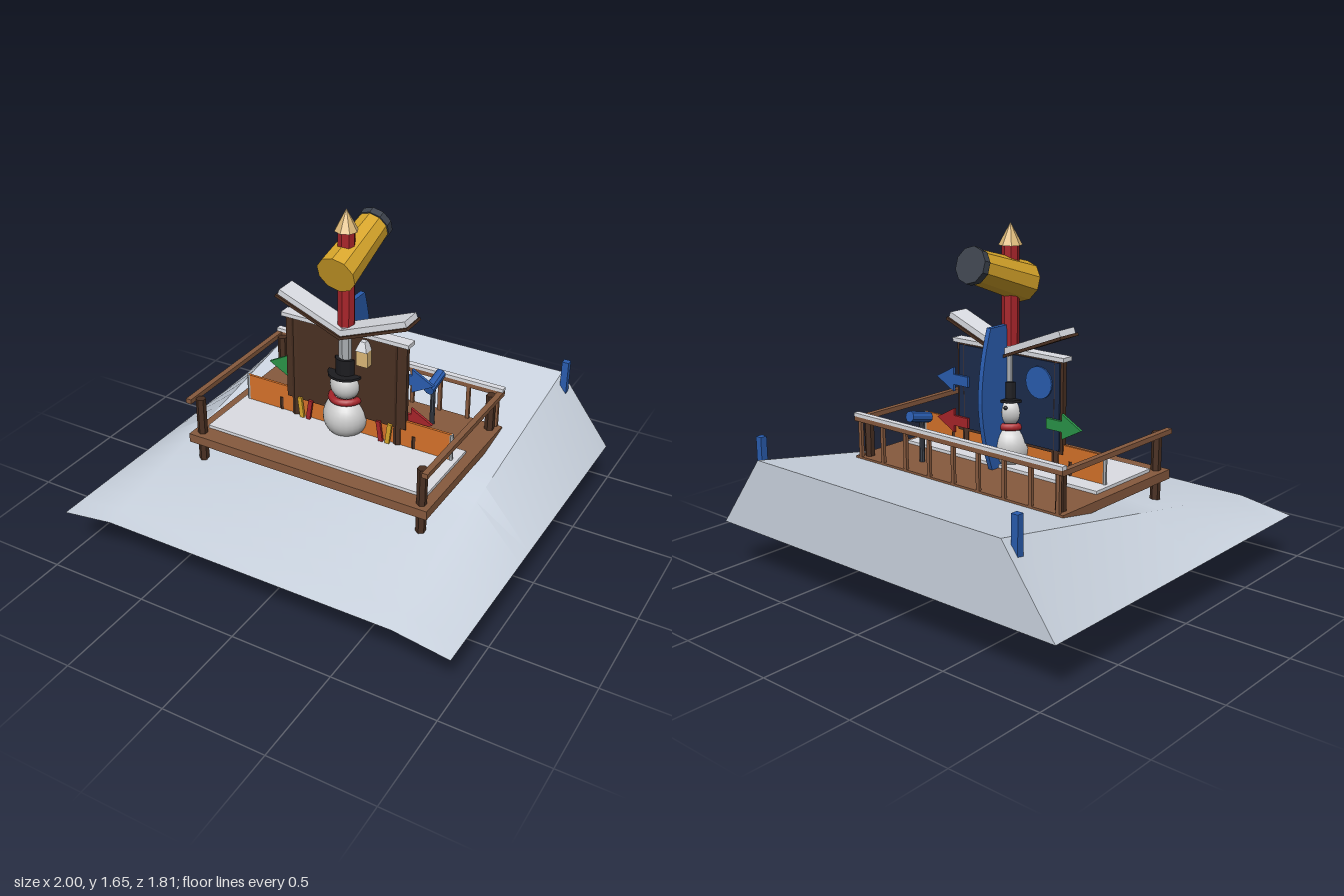
import * as THREE from 'three';
import { toCreasedNormals } from 'three/addons/utils/BufferGeometryUtils.js';

const C = {
  ground: 0xcdd6e2, snow: 0xdcdee4, wood: 0x875a3e, dark: 0x4a3022, red: 0xa8242a, yellow: 0xd8a62a,
  tan: 0xdcb878, orange: 0xd6722a, blue: 0x2a5db0, green: 0x2a9448, navy: 0x1c2c4c, slate: 0x3c424c,
  grey: 0xa8acb0, white: 0xeeeeee, black: 0x1c1c20, carrot: 0xd98030,
};

export function createModel() {
  const model = new THREE.Group();

  function add(name, geometry, color, x = 0, y = 0, z = 0, smooth = false, side = THREE.FrontSide) {
    const material = new THREE.MeshStandardMaterial({ color, flatShading: !smooth, side });
    const mesh = new THREE.Mesh(geometry, material);
    mesh.name = name;
    mesh.position.set(x, y, z);
    model.add(mesh);
    return mesh;
  }
  // Box given by its two opposite corners
  const box = (name, color, x0, x1, y0, y1, z0, z1) => add(name,
    new THREE.BoxGeometry(x1 - x0, y1 - y0, z1 - z0), color, (x0 + x1) / 2, (y0 + y1) / 2, (z0 + z1) / 2);
  // Upright post from y0 to y1
  const post = (name, color, r, x, z, y0, y1, sides = 6, rTop = r) => add(name,
    new THREE.CylinderGeometry(rTop, r, y1 - y0, sides), color, x, (y0 + y1) / 2, z);
  const ball = (name, color, r, x, y, z, w = 24, h = 16) =>
    add(name, new THREE.SphereGeometry(r, w, h), color, x, y, z, true);
  const extrude = (points, depth) => {
    const shape = new THREE.Shape(points.map(([x, y]) => new THREE.Vector2(x, y)));
    return new THREE.ExtrudeGeometry(shape, { depth, bevelEnabled: false });
  };

  // Sloping snow ground: open shell that rises to the back with flared sides
  const rows = 18, positions = [], index = [];
  for (let j = 0; j <= rows; j++) {
    const z = 0.9 - (1.81 * j) / rows, h = 0.28 + (0.32 * j) / rows;
    positions.push(-1, 0.24, z, -0.73, h, z, 0.73, h, z, 1, 0.24, z);
    if (j === rows) break;
    for (let i = 0; i < 3; i++) {
      const a = j * 4 + i, b = a + 4;
      index.push(a, a + 1, b, a + 1, b + 1, b);
    }
  }
  const ground = new THREE.BufferGeometry();
  ground.setAttribute('position', new THREE.Float32BufferAttribute(positions, 3));
  ground.setIndex(index);
  add('snowSlope', toCreasedNormals(ground, 0.6), C.ground, 0, 0, 0, true, THREE.DoubleSide);
  const wall = new THREE.Shape([[-1, 0.24], [1, 0.24], [0.73, 0.6], [-0.73, 0.6]].map((p) => new THREE.Vector2(...p)));
  add('slopeBackWall', new THREE.ShapeGeometry(wall), C.ground, 0, 0, -0.91, false, THREE.DoubleSide);

  // Deck with its snow cover, legs and rails
  box('deck', C.wood, -0.63, 0.63, 0.475, 0.52, -0.4, 0.4);
  box('deckSnow', C.snow, -0.58, 0.58, 0.52, 0.535, -0.1, 0.31);
  for (const s of [-1, 1]) {
    for (const z of [-0.355, 0.355]) post('deckLeg', C.dark, 0.024, s * 0.583, z, 0, 0.705);
    box('sideRail', C.wood, s * 0.617 - 0.014, s * 0.617 + 0.014, 0.692, 0.716, -0.4, 0.405);
    box('markerPost', C.blue, s * 0.765 - 0.017, s * 0.765 + 0.017, 0.26, 0.695, -0.872, -0.838);
  }
  box('backRail', C.wood, -0.63, 0.63, 0.695, 0.718, -0.405, -0.38);
  box('backRailSnow', C.snow, -0.63, 0.63, 0.718, 0.735, -0.408, -0.378);
  for (let i = 0; i <= 8; i++) {
    const x = -0.6 + i * 0.15;
    box('baluster', C.wood, x - 0.009, x + 0.009, 0.5, 0.695, -0.4, -0.384);
  }

  // Long low banner on thin stakes
  box('banner', C.orange, -0.55, 0.55, 0.32, 0.67, -0.006, 0.006);
  for (const s of [-1, 1]) {
    post('bannerStake', C.grey, 0.01, s * 0.55, 0, 0.18, 0.67);
    post('bannerInnerStake', C.dark, 0.012, s * 0.36, 0, 0.18, 0.6);
    // Leaning coloured slats
    [[0.235, C.yellow, -0.12], [0.195, C.red, 0.15]].forEach(([x, color, tilt]) => {
      const slat = add('leaningSlat', new THREE.BoxGeometry(0.022, 0.16, 0.012), color, s * x, 0.56, 0.022);
      slat.rotation.z = s * tilt;
    });
  }

  // Notice board with posts, snow cap and dark back panel
  box('board', C.dark, -0.32, 0.32, 0.625, 1.06, -0.012, 0.012);
  box('boardBack', C.navy, -0.305, 0.305, 0.64, 1.05, -0.02, -0.012);
  box('boardSnow', C.snow, -0.335, 0.335, 1.06, 1.08, -0.03, 0.03);
  for (const s of [-1, 1]) post('boardPost', C.dark, 0.021, s * 0.275, 0, 0.18, 1.06);
  const disc = add('boardDisc', new THREE.CylinderGeometry(0.075, 0.075, 0.008, 24), C.blue, -0.19, 0.945, -0.024);
  disc.rotation.x = Math.PI / 2;

  // Small lantern on the board front
  box('lantern', C.tan, 0.08, 0.138, 0.92, 1.0, 0.012, 0.05);
  const cap = post('lanternRoof', C.snow, 0.042, 0.109, 0.031, 1.0, 1.045, 4, 0.018);
  cap.rotation.y = Math.PI / 4;

  // Pointing arrows: direction, height, colour
  [[1, 0.875, C.blue], [-1, 0.765, C.green], [1, 0.67, C.red]].forEach(([s, y, color]) => {
    const outline = [[0.24, -0.025], [0.33, -0.025], [0.33, -0.06], [0.44, 0], [0.33, 0.06], [0.33, 0.025], [0.24, 0.025]];
    const points = outline.map(([x, dy]) => [s * x, dy]);
    add('directionArrow', extrude(points, 0.014), color, 0, y, -0.034);
  });

  // Upswept two-wing roof with snow
  for (const s of [-1, 1]) {
    const wing = new THREE.Group();
    wing.name = 'roofWing';
    wing.position.set(0, 1.035, 0);
    wing.rotation.z = s * 0.375;
    const planks = add('roofPlanks', new THREE.BoxGeometry(0.37, 0.014, 0.13), C.dark, s * 0.185, 0.007, 0);
    const snow = add('roofSnow', new THREE.BoxGeometry(0.36, 0.028, 0.11), C.snow, s * 0.185, 0.028, 0);
    wing.add(planks, snow);
    model.add(wing);
  }

  // Central mast with pointed tip
  post('mastFoot', C.grey, 0.038, 0, 0, 0.18, 1.1, 8);
  post('mast', C.red, 0.041, 0, 0, 1.09, 1.56, 8);
  post('mastTip', C.tan, 0.055, 0, 0, 1.55, 1.65, 8, 0.001);

  // Big tilted barrel with dark end cap, higher at the back
  const tilt = -1.25;
  add('barrel', new THREE.CylinderGeometry(0.079, 0.096, 0.345, 10), C.yellow, 0, 1.425, -0.071).rotation.x = tilt;
  add('barrelCap', new THREE.CylinderGeometry(0.085, 0.085, 0.036, 10), C.slate, 0, 1.485, -0.253).rotation.x = tilt;

  // Curved fin behind the mast, drawn in the (-z, y) plane
  const fin = new THREE.Shape();
  fin.moveTo(0.03, 0.42);
  fin.lineTo(0.1, 0.42);
  fin.quadraticCurveTo(0.205, 0.64, 0.213, 0.85);
  fin.quadraticCurveTo(0.21, 1.02, 0.15, 1.19);
  fin.lineTo(0.04, 1.19);
  fin.closePath();
  const finGeometry = new THREE.ExtrudeGeometry(fin, { depth: 0.024, bevelEnabled: false, curveSegments: 8 });
  add('fin', finGeometry, C.blue, -0.012, 0, 0).rotation.y = Math.PI / 2;

  // Snowman facing the back
  ball('snowmanBase', C.white, 0.152, 0, 0.4, 0);
  ball('snowmanBody', C.white, 0.112, 0, 0.612, 0);
  ball('snowmanHead', C.white, 0.077, 0, 0.78, 0);
  const scarf = add('scarf', new THREE.TorusGeometry(0.07, 0.018, 8, 24), C.red, 0, 0.712, 0, true);
  scarf.rotation.x = Math.PI / 2;
  box('scarfTail', C.red, 0.03, 0.06, 0.63, 0.71, -0.115, -0.09);
  post('hatBrim', C.black, 0.088, 0, 0, 0.832, 0.844, 16);
  post('hatCrown', C.black, 0.052, 0, 0, 0.844, 0.922, 16);
  const nose = add('carrotNose', new THREE.ConeGeometry(0.014, 0.08, 8), C.carrot, 0, 0.785, -0.11);
  nose.rotation.x = -Math.PI / 2;
  for (const s of [-1, 1]) ball('eye', C.black, 0.01, s * 0.028, 0.805, -0.067, 8, 6);
  for (const y of [0.58, 0.64]) ball('button', C.black, 0.011, 0, y, -0.108, 8, 6);

  // Small viewer on a stand near the back rail
  post('viewerStand', C.slate, 0.013, 0.325, -0.26, 0.52, 0.72, 8);
  const viewer = add('viewer', new THREE.CylinderGeometry(0.026, 0.026, 0.13, 10), C.blue, 0.325, 0.742, -0.275);
  viewer.rotation.x = -1.34;

  return model;
}
